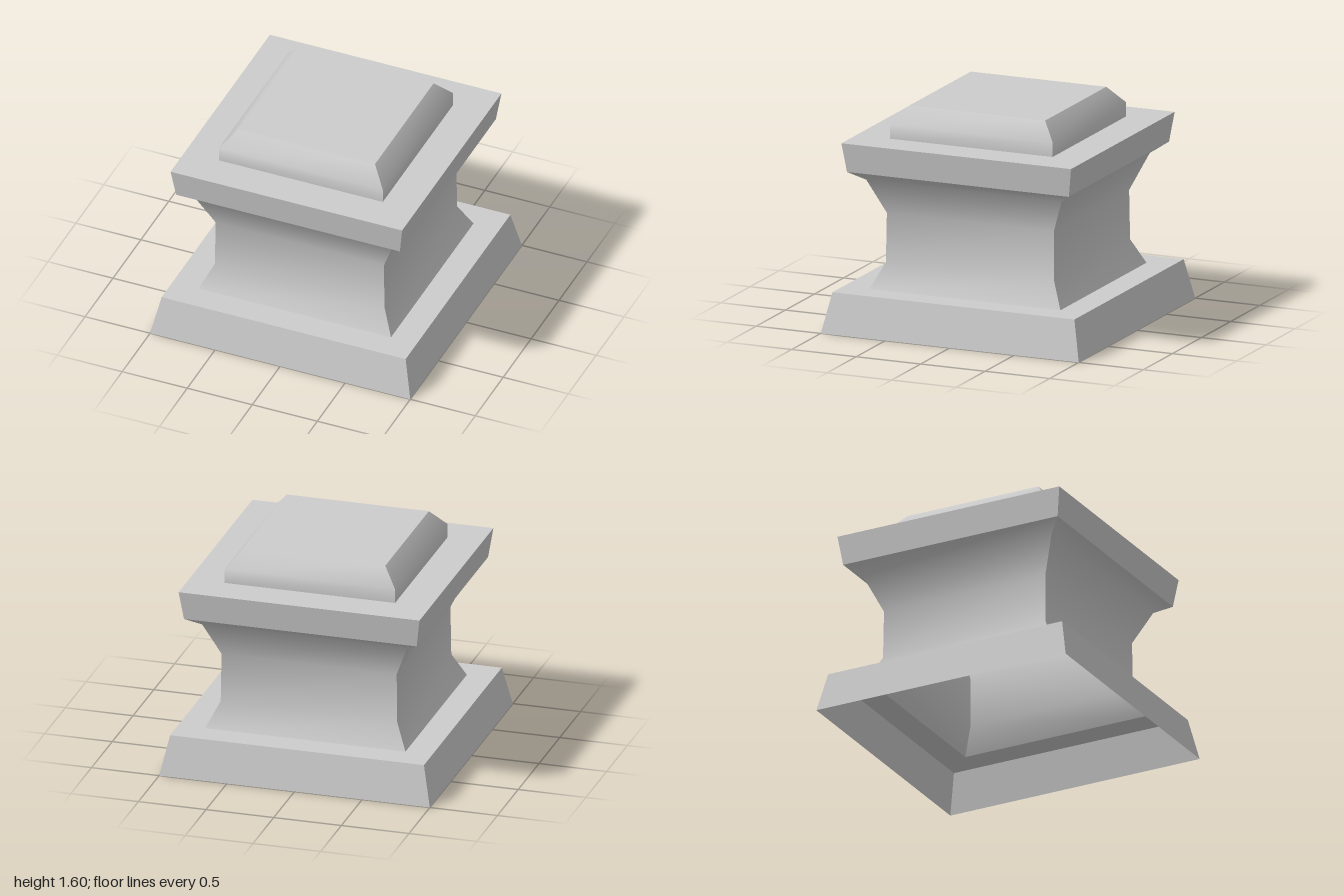
import * as THREE from 'three';

// Square band swept through [halfWidth, y] points: smooth along the profile, sharp at the four corners
function squareBand(profile) {
  const positions = [];
  const indices = [];
  for (let side = 0; side < 4; side++) {
    const start = positions.length / 3;
    const c = Math.round(Math.cos(side * Math.PI / 2));
    const s = Math.round(Math.sin(side * Math.PI / 2));
    profile.forEach(([r, y], i) => {
      for (const x of [-r, r]) positions.push(x * c + r * s, y, r * c - x * s);
      if (i === 0) return;
      const a = start + (i - 1) * 2;
      indices.push(a, a + 1, a + 3, a, a + 3, a + 2);
    });
  }
  const geometry = new THREE.BufferGeometry();
  geometry.setAttribute('position', new THREE.Float32BufferAttribute(positions, 3));
  geometry.setIndex(indices);
  geometry.computeVertexNormals();
  return geometry;
}

export function createModel() {
  const model = new THREE.Group();
  model.name = 'pedestal';

  // The pedestal is a hollow shell, open underneath
  const stone = new THREE.MeshStandardMaterial({ color: 0xcccccc, side: THREE.DoubleSide });
  stone.name = 'grey stone';

  const bands = {
    plinth: [[1, 0], [0.938, 0.292]],
    plinthLedge: [[0.938, 0.292], [0.74, 0.292]],
    shaft: [[0.74, 0.292], [0.652, 0.475], [0.647, 0.835], [0.757, 1.09], [0.86, 1.16]],
    collar: [[0.86, 1.16], [0.89, 1.373]],
    collarLedge: [[0.89, 1.373], [0.63, 1.373]],
    cap: [[0.63, 1.373], [0.63, 1.478], [0.525, 1.603]],
  };
  for (const [name, profile] of Object.entries(bands)) {
    const mesh = new THREE.Mesh(squareBand(profile), stone);
    mesh.name = name;
    model.add(mesh);
  }

  // Flat top of the cap
  const top = new THREE.Mesh(new THREE.PlaneGeometry(1.05, 1.05), stone);
  top.name = 'capTop';
  top.rotation.x = -Math.PI / 2;
  top.position.y = 1.603;
  model.add(top);

  return model;
}
